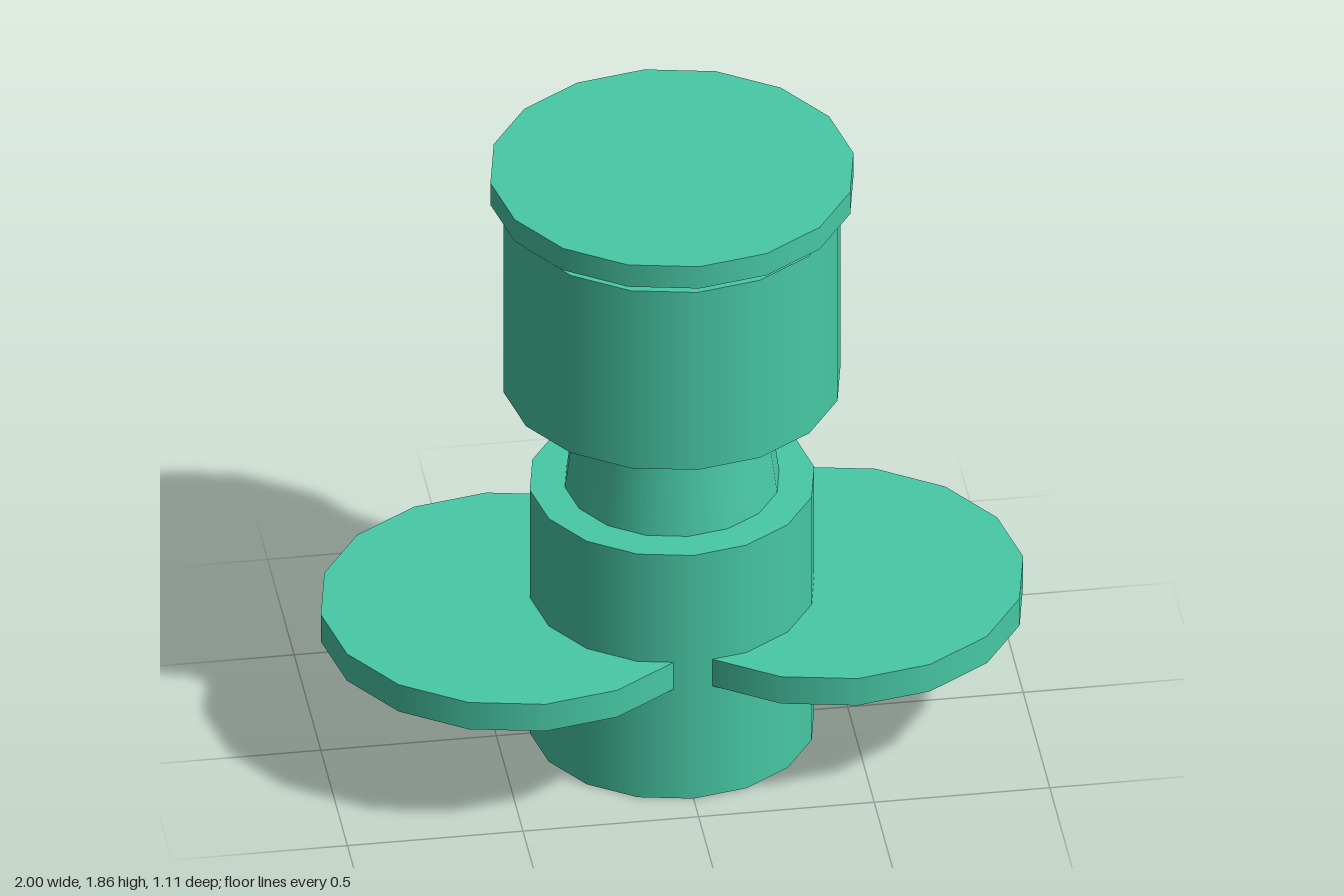
import * as THREE from 'three';

export function createModel() {
  const model = new THREE.Group();
  const material = new THREE.MeshStandardMaterial({ color: 0x48c9a5 });

  // Upright 16-sided drum between two heights
  const drum = (name, bottom, top, rBottom, rTop = rBottom, x = 0) => {
    const mesh = new THREE.Mesh(new THREE.CylinderGeometry(rTop, rBottom, top - bottom, 16), material);
    mesh.name = name;
    mesh.position.set(x, (bottom + top) / 2, 0);
    model.add(mesh);
  };

  // Central column, from the floor up
  drum('base', 0, 0.815, 0.405);
  drum('taperedNeck', 0.815, 1.15, 0.305, 0.26);
  drum('head', 1.15, 1.745, 0.48);
  drum('floatingLid', 1.782, 1.855, 0.517);

  // Side discs sunk into the base
  drum('leftDisc', 0.365, 0.455, 0.555, 0.555, 0.445);
  drum('rightDisc', 0.365, 0.455, 0.555, 0.555, -0.445);

  return model;
}
